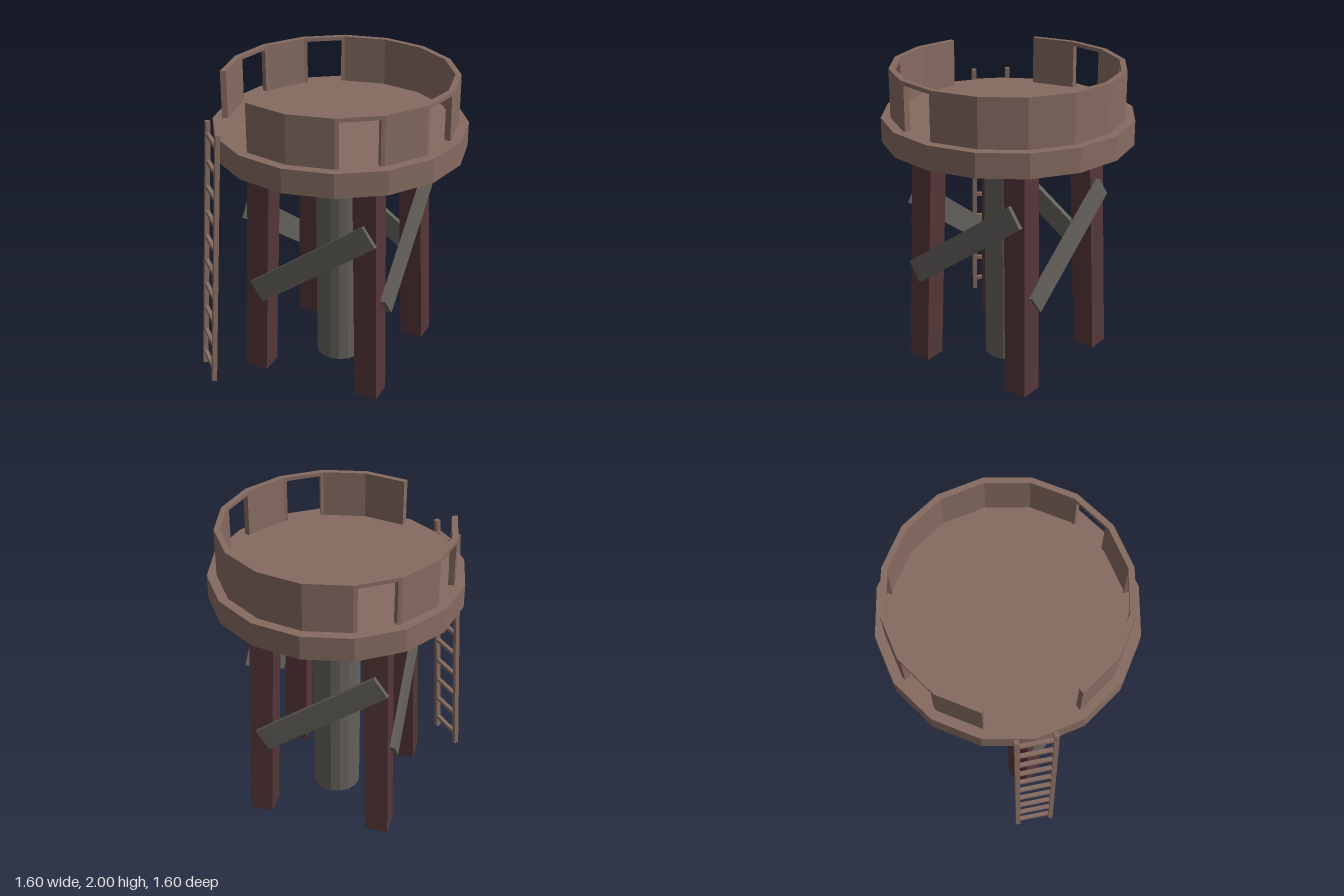
import * as THREE from 'three';

const SIDES = 16;

export function createModel() {
  const model = new THREE.Group();
  const flat = (name, color) => {
    const m = new THREE.MeshStandardMaterial({ color, flatShading: true });
    m.name = name;
    return m;
  };
  const wood = flat('wood', 0x866b61);
  const darkWood = flat('darkWood', 0x543638);
  const grey = flat('greyTimber', 0x64615c);

  const add = (parent, name, geometry, material) => {
    const mesh = new THREE.Mesh(geometry, material);
    mesh.name = name;
    parent.add(mesh);
    return mesh;
  };
  const addGroup = (name) => {
    const g = new THREE.Group();
    g.name = name;
    model.add(g);
    return g;
  };

  // Platform and central column
  add(model, 'platform', new THREE.CylinderGeometry(0.8, 0.8, 0.155, SIDES), wood).position.y = 1.6125;
  add(model, 'column', new THREE.CylinderGeometry(0.157, 0.157, 1.54, SIDES), grey).position.y = 0.77;

  // Parapet: pieces of a 16-sided ring between two positions counted in sides
  const ringPoint = (radius, t) => {
    const k = Math.floor(t);
    const corner = (i) => {
      const a = (i * Math.PI * 2) / SIDES;
      return new THREE.Vector2(Math.cos(a) * radius, -Math.sin(a) * radius);
    };
    return corner(k).lerp(corner(k + 1), t - k);
  };
  const parapet = addGroup('parapet');
  const wall = (name, from, to, y0, y1) => {
    const stops = [from];
    for (let k = Math.floor(from) + 1; k < to; k++) stops.push(k);
    stops.push(to);
    const outer = stops.map((t) => ringPoint(0.74, t));
    const inner = stops.map((t) => ringPoint(0.703, t)).reverse();
    const geometry = new THREE.ExtrudeGeometry(new THREE.Shape([...outer, ...inner]), {
      depth: y1 - y0,
      bevelEnabled: false,
    });
    geometry.rotateX(-Math.PI / 2);
    add(parapet, name, geometry, wood).position.y = y0;
  };
  // Solid runs, leaving the entrance open above the ladder
  const m = 0.085;
  const runs = [[1 - m, 2 + m], [3 - m, 5], [7, 8 + m], [9 - m, 10 + m], [11 - m, 16 + m]];
  for (const [from, to] of runs) wall('parapetWall', from, to, 1.69, 2);
  // Thin lintels over the four openings
  for (const k of [0, 2, 8, 10]) wall('openingLintel', k + m, k + 1 - m, 1.975, 2);

  // Four legs, sheared inward towards the top
  const legs = addGroup('legs');
  for (const sx of [-1, 1]) {
    for (const sz of [-1, 1]) {
      const geometry = new THREE.BoxGeometry(0.152, 1.525, 0.152);
      const p = geometry.attributes.position;
      for (let i = 0; i < p.count; i++) {
        const centre = p.getY(i) > 0 ? 0.355 : 0.398;
        p.setX(i, p.getX(i) + sx * centre);
        p.setZ(i, p.getZ(i) + sz * centre);
      }
      geometry.computeVertexNormals();
      add(legs, 'leg', geometry, darkWood).position.y = 0.7775;
    }
  }

  // One diagonal plank on each side: [sideways, height, distance out, tilt]
  const braces = addGroup('braces');
  const planks = [
    [0.02, 0.895, 0.465, -0.05],
    [0, 0.94, 0.472, -0.07],
    [0.02, 0.895, 0.46, -0.02],
    [0.02, 0.895, 0.465, -0.04],
  ];
  planks.forEach(([x, y, z, tilt], i) => {
    const side = new THREE.Group();
    side.name = 'braceSide';
    side.rotation.y = (i * Math.PI) / 2;
    braces.add(side);
    const plank = add(side, 'brace', new THREE.BoxGeometry(0.945, 0.152, 0.034), grey);
    plank.position.set(x, y, z);
    plank.rotation.set(tilt, 0, 0.624);
  });

  // Ladder leaning towards the entrance, facing outward at 45 degrees
  const ladder = addGroup('ladder');
  ladder.rotation.y = -Math.PI / 4;
  const bottom = 0.02, top = 1.755;
  const reach = (y) => 0.925 - (0.11 * (y - bottom)) / (top - bottom);
  const lean = Math.atan(0.11 / (top - bottom));
  for (const s of [-1, 1]) {
    const rail = add(ladder, 'ladderRail', new THREE.BoxGeometry(0.03, 1.735, 0.03), wood);
    rail.position.set(s * 0.116, (bottom + top) / 2, reach((bottom + top) / 2));
    rail.rotation.x = -lean;
  }
  for (let i = 0; i < 10; i++) {
    const y = 0.108 + i * 0.1732;
    const rung = add(ladder, 'ladderRung', new THREE.BoxGeometry(0.22, 0.025, 0.025), wood);
    rung.position.set(0, y, reach(y));
    rung.rotation.x = -lean;
  }

  return model;
}
